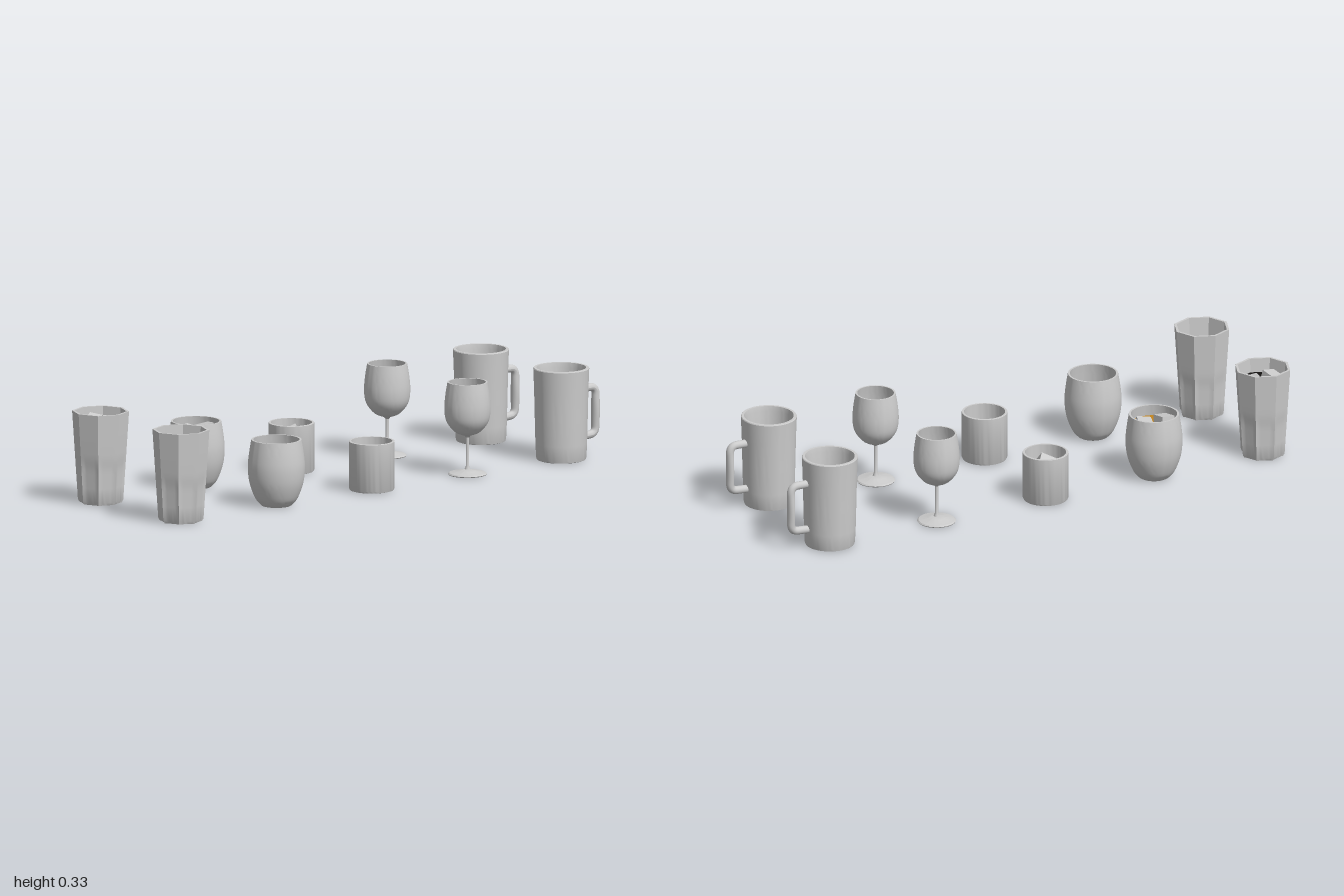
import * as THREE from 'three';
import { toCreasedNormals } from 'three/addons/utils/BufferGeometryUtils.js';

const ROW_Z = 0.219;
const grey = new THREE.MeshStandardMaterial({ color: 0xcccccc });
const paint = (color) => new THREE.MeshStandardMaterial({ color });

function mesh(name, geometry, material = grey) {
  const m = new THREE.Mesh(geometry, material);
  m.name = name;
  return m;
}

// Revolved profile with sharp edges kept; warp may reshape the vertices
function revolve(points, warp) {
  const g = new THREE.LatheGeometry(points.map(([r, y]) => new THREE.Vector2(r, y)), 64);
  if (warp) warp(g.attributes.position);
  return toCreasedNormals(g, 0.6);
}

// Smooth profile through a few points
function smooth(points, n = 20) {
  const curve = new THREE.SplineCurve(points.map(([r, y]) => new THREE.Vector2(r, y)));
  return curve.getPoints(n).map((p) => [Math.max(p.x, 0), p.y]);
}

// Drink filling the inner profile (listed from rim to floor) up to a level
function liquid(inner, level, color, warp) {
  const i = inner.findIndex((p) => p[1] < level);
  const [a, b] = [inner[i - 1], inner[i]];
  const r = b[0] + ((a[0] - b[0]) * (level - b[1])) / (a[1] - b[1]);
  const body = inner.slice(i).reverse().map(([x, y]) => [x * 0.99, y + 0.001]);
  return mesh('drink', revolve([...body, [r, level], [0, level]], warp), paint(color));
}

function iceCube(size, position, rotation) {
  const cube = mesh('iceCube', new THREE.BoxGeometry(size, size, size));
  cube.position.set(...position);
  cube.rotation.set(...rotation);
  return cube;
}

// Octagonal cross-section, with sunken panels between corner ribs low down
function octagon(position) {
  const side = Math.PI / 4;
  for (let i = 0; i < position.count; i++) {
    const x = position.getX(i), y = position.getY(i), z = position.getZ(i);
    const angle = Math.atan2(x, z) + 2 * Math.PI + 1e-6;
    const local = (angle % side) - side / 2;
    let f = Math.cos(side / 2) / Math.cos(local);
    const panel = Math.abs(local) < side * 0.4 ? 1 : 0;
    f -= 0.04 * panel * (1 - THREE.MathUtils.smoothstep(y, 0.12, 0.18));
    position.setX(i, x * f);
    position.setZ(i, z * f);
  }
}

function tallGlass(full) {
  const g = new THREE.Group();
  const wall = [0.01, 0.06, 0.11, 0.125, 0.14, 0.155, 0.17, 0.185, 0.25, 0.325];
  const radius = (y) => 0.079 + (0.021 * y) / 0.325;
  const outer = [[0, 0], [0.074, 0], ...wall.map((y) => [radius(y), y])];
  const inner = [...wall.slice(1).reverse().map((y) => [radius(y) - 0.009, y]), [0.064, 0.025], [0, 0.025]];
  g.add(mesh('tallGlassBody', revolve([...outer, ...inner], octagon)));
  if (full) {
    g.add(
      liquid(inner, 0.275, 0x141211, octagon),
      iceCube(0.05, [0.008, 0.274, -0.045], [0.2, 0.6, 0.15]),
      iceCube(0.05, [-0.036, 0.272, 0.006], [-0.15, 0.15, 0.2]),
      iceCube(0.05, [0.038, 0.272, 0.004], [0.15, -0.3, -0.15]),
      iceCube(0.05, [0.004, 0.24, 0.043], [0.6, 0.5, 0.7]));
  }
  return g;
}

function stemlessGlass(full) {
  const g = new THREE.Group();
  const outer = smooth([[0.055, 0.003], [0.075, 0.028], [0.094, 0.08], [0.1, 0.135], [0.096, 0.185], [0.088, 0.235]]);
  const inner = smooth([[0.081, 0.235], [0.087, 0.185], [0.091, 0.135], [0.085, 0.08], [0.06, 0.03], [0, 0.015]]);
  g.add(mesh('stemlessBody', revolve([[0, 0], [0.05, 0], ...outer, ...inner])));
  if (full) {
    g.add(
      liquid(inner, 0.195, 0xc4841c),
      iceCube(0.052, [-0.04, 0.194, 0.002], [0.12, 0.15, 0.1]),
      iceCube(0.052, [0.04, 0.194, 0.002], [-0.12, -0.3, 0.12]));
  }
  return g;
}

function tumbler(full) {
  const g = new THREE.Group();
  const outer = [[0, 0.004], [0.066, 0.004], [0.07, 0], [0.077, 0.002], [0.08, 0.008], [0.08, 0.174]];
  const inner = [[0.079, 0.175], [0.072, 0.175], [0.071, 0.03], [0.064, 0.022], [0, 0.022]];
  g.add(mesh('tumblerBody', revolve([...outer, ...inner])));
  // One large cube standing on its corner
  if (full) {
    g.add(
      liquid(inner, 0.115, 0x4a1f10),
      iceCube(0.075, [0, 0.108, 0], [Math.PI / 4, 0, Math.atan(Math.SQRT1_2)]));
  }
  return g;
}

function wineGlass(full) {
  const g = new THREE.Group();
  const foot = [[0, 0], [0.066, 0], [0.068, 0.003], [0.064, 0.007], [0.03, 0.013], [0.01, 0.019], [0.006, 0.03], [0.006, 0.132]];
  const outer = smooth([[0.012, 0.139], [0.045, 0.153], [0.073, 0.188], [0.081, 0.23], [0.078, 0.28], [0.07, 0.33]]);
  const inner = smooth([[0.064, 0.33], [0.072, 0.28], [0.075, 0.23], [0.067, 0.19], [0.042, 0.159], [0, 0.147]]);
  g.add(mesh('wineGlassBody', revolve([...foot, ...outer, ...inner])));
  if (full) g.add(liquid(inner, 0.24, 0x7a1f1c));
  return g;
}

function mug() {
  const g = new THREE.Group();
  const outer = [[0, 0.003], [0.078, 0.003], [0.081, 0], [0.086, 0.002], [0.088, 0.008], [0.0905, 0.06], [0.093, 0.16], [0.095, 0.25], [0.098, 0.325]];
  const inner = [[0.096, 0.328], [0.087, 0.328], [0.084, 0.31], [0.082, 0.16], [0.079, 0.04], [0.07, 0.028], [0, 0.028]];
  g.add(mesh('mugBody', revolve([...outer, ...inner])));

  // Handle: rounded bracket, widest at mid height
  const v = (x, y) => new THREE.Vector3(x, y, 0);
  const path = new THREE.CurvePath();
  path.add(new THREE.LineCurve3(v(0.088, 0.24), v(0.13, 0.241)));
  path.add(new THREE.QuadraticBezierCurve3(v(0.13, 0.241), v(0.156, 0.241), v(0.156, 0.212)));
  path.add(new THREE.LineCurve3(v(0.156, 0.212), v(0.155, 0.1)));
  path.add(new THREE.QuadraticBezierCurve3(v(0.155, 0.1), v(0.155, 0.074), v(0.13, 0.072)));
  path.add(new THREE.LineCurve3(v(0.13, 0.072), v(0.086, 0.069)));
  const tube = new THREE.TubeGeometry(path, 64, 0.014, 16);
  const p = tube.attributes.position;
  for (let i = 0; i < p.count; i++) {
    const t = THREE.MathUtils.clamp((p.getY(i) - 0.07) / 0.17, 0, 1);
    p.setZ(i, p.getZ(i) * (1 + 0.28 * Math.sin(Math.PI * t) ** 2));
  }
  tube.computeVertexNormals();
  g.add(mesh('mugHandle', tube));
  return g;
}

export function createModel() {
  const model = new THREE.Group();
  model.name = 'drinkingGlasses';
  const kinds = [
    ['tallGlass', tallGlass, -0.902],
    ['stemlessGlass', stemlessGlass, -0.467],
    ['tumbler', tumbler, -0.033],
    ['wineGlass', wineGlass, 0.403],
    ['mug', mug, 0.83],
  ];
  // Empty glasses in front, filled ones behind
  for (const [name, build, x] of kinds) {
    for (const full of [false, true]) {
      const glass = build(full);
      glass.name = name + (full ? 'Back' : 'Front');
      glass.position.set(x, 0, full ? -ROW_Z : ROW_Z);
      model.add(glass);
    }
  }
  return model;
}
